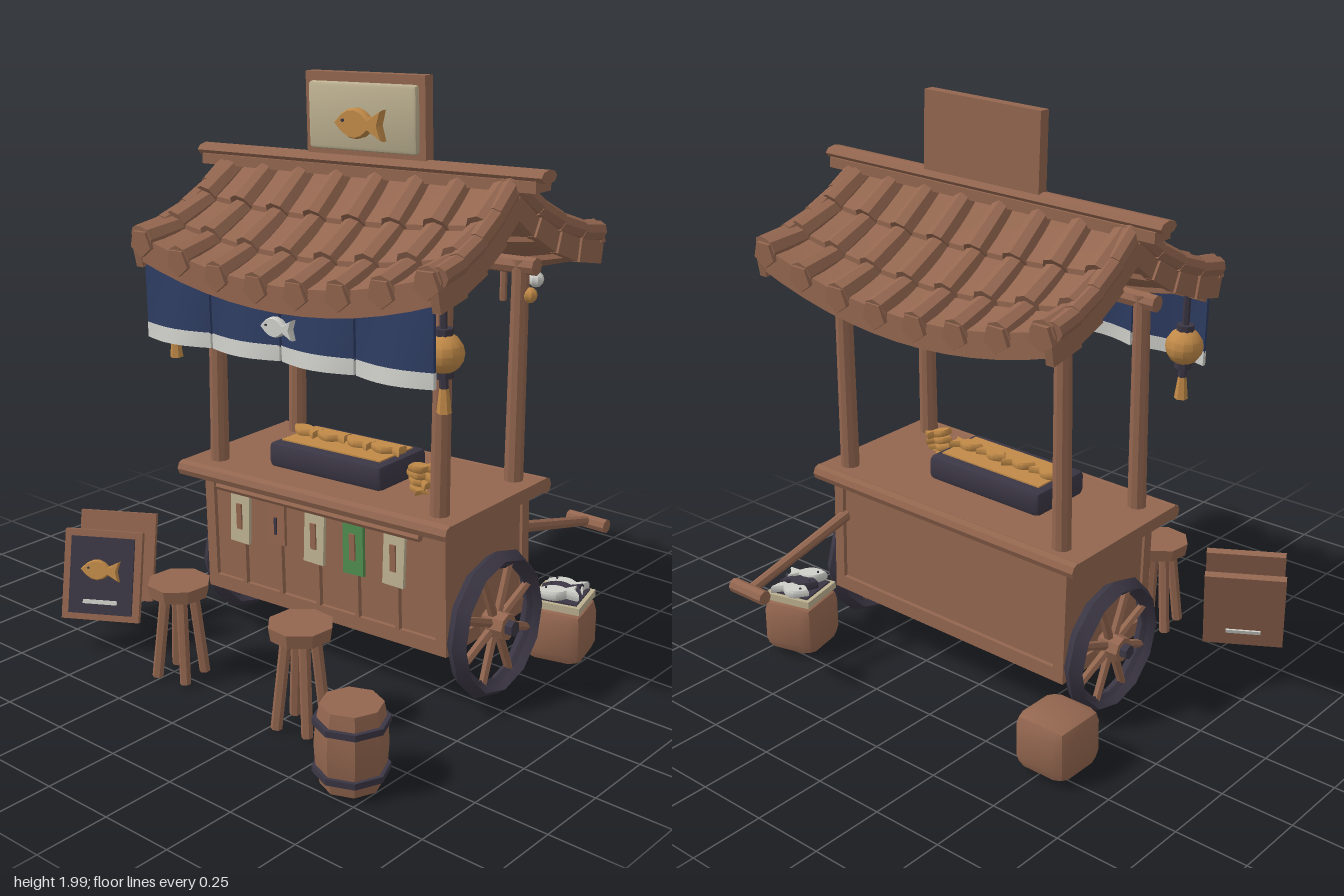
import * as THREE from 'three';
import { toCreasedNormals } from 'three/addons/utils/BufferGeometryUtils.js';
import { RoundedBoxGeometry } from 'three/addons/geometries/RoundedBoxGeometry.js';

const paint = (name, color) => Object.assign(new THREE.MeshStandardMaterial({ color }), { name });
const wood = paint('wood brown', 0x93664f), dark = paint('charcoal', 0x3b3644), navy = paint('navy cloth', 0x2d3c61);
const gold = paint('golden', 0xc18a48), cream = paint('cream', 0xbcb090), white = paint('off white', 0xcfcfca);
const green = paint('green', 0x4f8a4e);
const V = (x, y, z) => new THREE.Vector3(x, y, z);
const TILT = 0.033, YAW = 0.03, CX = 0.108, CZ = -0.055;

function add(parent, name, geo, mat, pos = [0, 0, 0], rot = [0, 0, 0]) {
  const m = new THREE.Mesh(toCreasedNormals(geo, 0.6), mat);
  m.name = name;
  m.position.set(...pos);
  m.rotation.set(...rot);
  parent.add(m);
  return m;
}
const box = (p, name, mat, size, pos, rot) => add(p, name, new THREE.BoxGeometry(...size), mat, pos, rot);
const cyl = (p, name, mat, r1, r2, h, n, pos, rot) => add(p, name, new THREE.CylinderGeometry(r1, r2, h, n), mat, pos, rot);
function group(parent, name, pos = [0, 0, 0], rot = [0, 0, 0]) {
  const g = new THREE.Group();
  g.name = name;
  g.position.set(...pos);
  g.rotation.set(...rot);
  parent.add(g);
  return g;
}
// round bar from a to b
function bar(p, name, mat, a, b, ra, rb = ra, n = 8) {
  const m = cyl(p, name, mat, rb, ra, a.distanceTo(b), n);
  m.position.copy(a).add(b).multiplyScalar(0.5);
  m.quaternion.setFromUnitVectors(V(0, 1, 0), b.clone().sub(a).normalize());
  return m;
}
// slightly crooked assembly: turned about height py, built with heights above the ground
const crooked = (root, name, py) => group(group(root, name, [CX, py, CZ], [0, YAW, TILT]), name + 'Parts', [0, -py, 0]);

// fish facing -x, lying in the xy plane
function fish(p, mat, len, pos, rot, eye, depth = 0.1) {
  const g = group(p, 'fish', pos, rot);
  const s = new THREE.Shape();
  s.moveTo(-0.5, 0.02);
  s.quadraticCurveTo(-0.12, 0.46, 0.22, 0.08);
  s.lineTo(0.5, 0.24);
  s.lineTo(0.42, 0);
  s.lineTo(0.5, -0.24);
  s.lineTo(0.22, -0.08);
  s.quadraticCurveTo(-0.12, -0.42, -0.5, 0.02);
  const geo = new THREE.ExtrudeGeometry(s, { depth, bevelThickness: 0.06, bevelSize: 0.03, bevelSegments: 1, curveSegments: 5 });
  add(g, 'fishBody', geo.scale(len, len, len), mat);
  if (eye) cyl(g, 'fishEye', eye, 0.03 * len, 0.03 * len, 0.008, 6, [-0.3 * len, 0.07 * len, (depth + 0.07) * len], [Math.PI / 2, 0, 0]);
  return g;
}

// roof surface: x along the ridge, t from ridge (0) to eave (1)
function roofPoint(x, t, lift = 0) {
  const sag = 0.11 * t * (1 - (x / 0.6) ** 2);
  return V(x * (1 + 0.06 * t), 1.67 - 0.36 * t + 0.16 * t * t - sag + lift, 0.425 * t);
}
function roofSlope(roof, name, turn) {
  const g = group(roof, name, [0, 0, 0], [0, turn - 0.018, 0]);
  for (let r = 0; r < 3; r++) {
    const t0 = r / 3, t1 = (r + 1) / 3 + 0.02;
    const geo = new THREE.BoxGeometry(1.16, 0.085, 1, 12, 1, 3), a = geo.attributes.position;
    for (let i = 0; i < a.count; i++) {
      const k = a.getZ(i) + 0.5;
      const q = roofPoint(a.getX(i), t0 + (t1 - t0) * k, a.getY(i) - 0.035 + 0.018 * k);
      a.setXYZ(i, q.x, q.y, q.z);
    }
    geo.computeVertexNormals();
    add(g, 'roofCourse', geo, wood);
    for (let c = 0; c < 8; c++) {
      const x = (c - 3.5) * 0.156;
      bar(g, 'coverTile', wood, roofPoint(x, t0, 0.002), roofPoint(x, t1 + 0.01, 0.02), 0.039, 0.046);
    }
  }
  for (let c = 0; c < 8; c++) {
    const e = roofPoint((c - 3.5) * 0.156, 1.03, 0.01);
    cyl(g, 'eaveCap', wood, 0.048, 0.048, 0.025, 5, [e.x, e.y, e.z], [Math.PI / 2 + 0.1, 0, 0]);
  }
  for (const s of [-1, 1]) for (let i = 0; i < 4; i++) {
    const a = roofPoint(s * 0.575, i / 4), b = roofPoint(s * 0.575, (i + 1) / 4 + 0.01);
    bar(g, 'vergeTile', wood, a.clone().setY(a.y + 0.015), b.clone().setY(b.y + 0.02), 0.033);
    const board = box(g, 'bargeBoard', wood, [0.03, 0.08, a.distanceTo(b) + 0.02]);
    board.position.copy(a).add(b).multiplyScalar(0.5).add(V(0, -0.045, 0));
    board.rotation.x = Math.atan2(a.y - b.y, b.z - a.z);
  }
}

function buildRoof(root) {
  const roof = crooked(root, 'roof', 1.67);
  roofSlope(roof, 'frontSlope', 0);
  roofSlope(roof, 'backSlope', Math.PI);
  box(roof, 'ridgeBase', wood, [1.34, 0.035, 0.085], [0, 1.683, 0]);
  cyl(roof, 'ridgeCap', wood, 0.043, 0.043, 1.38, 8, [0, 1.712, 0], [0, 0, Math.PI / 2]).scale.x = 0.5;
  // sign on the ridge
  box(roof, 'signBoard', wood, [0.475, 0.27, 0.04], [0.018, 1.857, -0.005]);
  add(roof, 'signPanel', new RoundedBoxGeometry(0.43, 0.215, 0.03, 1, 0.012), cream, [0.018, 1.855, 0.02]);
  fish(roof, gold, 0.18, [0.024, 1.835, 0.035], [0, 0, 0], dark);
  // cloth curtain under the front eave
  bar(roof, 'curtainRod', wood, V(-0.6, 1.375, 0.39), V(0.56, 1.375, 0.39), 0.015);
  for (let i = 0; i < 4; i++) for (const [name, mat, h, y, d] of [['curtain', navy, 0.2, 1.285, 0.012], ['curtainHem', white, 0.05, 1.165, 0.016]]) {
    const geo = new THREE.BoxGeometry(0.284, h, d, 6, 2, 1), a = geo.attributes.position;
    for (let k = 0; k < a.count; k++) a.setZ(k, a.getZ(k) + 0.03 * Math.cos(a.getX(k) * 11) * (1.4 - (y + a.getY(k))) / 0.25);
    geo.computeVertexNormals();
    add(roof, name, geo, mat, [(i - 1.5) * 0.293 - 0.022, y - 0.002, 0.4]);
  }
  fish(roof, white, 0.12, [-0.012, 1.25, 0.42], [0, 0, 0], dark, 0.12);
  // lanterns at both front corners
  for (const s of [-1, 1]) {
    const l = group(roof, 'lantern', [s * 0.563 - 0.022, 1.23, 0.315 + s * 0.015]);
    add(l, 'lanternBody', new THREE.SphereGeometry(0.063, 12, 8), gold);
    for (const k of [-1, 1]) cyl(l, 'lanternCap', dark, 0.03, 0.03, 0.025, 8, [0, k * 0.062, 0]);
    cyl(l, 'lanternCord', dark, 0.012, 0.012, 0.14, 6, [0, 0.13, 0]);
    cyl(l, 'tasselKnot', dark, 0.014, 0.014, 0.04, 6, [0, -0.092, 0]);
    cyl(l, 'tassel', gold, 0.014, 0.023, 0.075, 6, [0, -0.145, 0]);
  }
}

function buildFrame(root) {
  const f = group(root, 'frame', [CX, 0, CZ], [0, 0.015, 0]);
  for (const z of [0.2, -0.21]) {
    for (const x of [-0.47, 0.47]) cyl(f, 'post', wood, 0.029, 0.033, 0.76, 10, [x, 1.03 + x * TILT, z]);
    cyl(f, 'topBeam', wood, 0.029, 0.029, 1.06, 8, [0, 1.39, z], [0, 0, Math.PI / 2 + TILT]);
  }
  // small charms hanging by the back post
  add(f, 'charmBall', new THREE.SphereGeometry(0.026, 8, 6), gold, [0.5, 1.31, -0.22]);
  add(f, 'charmBall', new THREE.SphereGeometry(0.026, 8, 6), white, [0.5, 1.355, -0.255]);
  cyl(f, 'charmStick', wood, 0.012, 0.012, 0.12, 6, [0.36, 1.32, -0.28]);
}

function buildWheel(p, s, y, size) {
  const w = group(p, 'wheel', [s * 0.545, y, -0.02 + s * 0.016], [0, s * Math.PI / 2, 0]);
  w.scale.set(size, size, 1);
  add(w, 'tire', new THREE.TorusGeometry(0.223, 0.027, 4, 12), dark).scale.z = 1.4;
  add(w, 'rim', new THREE.TorusGeometry(0.204, 0.014, 4, 12), dark);
  for (let i = 0; i < 8; i++) {
    const a = (i + 0.5) * Math.PI / 4;
    bar(w, 'spoke', wood, V(0, 0, 0), V(Math.cos(a) * 0.205, Math.sin(a) * 0.205, 0), 0.017, 0.015, 6);
  }
  cyl(w, 'hub', wood, 0.045, 0.05, 0.08, 8, [0, 0, 0.01], [Math.PI / 2, 0, 0]);
  cyl(w, 'hubCap', dark, 0.027, 0.027, 0.03, 6, [0, 0, 0.06], [Math.PI / 2, 0, 0]);
}

function buildCart(root) {
  const c = crooked(root, 'cart', 0.4);
  box(c, 'cabinet', wood, [1, 0.41, 0.45], [0, 0.415, -0.015]);
  box(c, 'bottomRail', wood, [1.02, 0.05, 0.48], [0, 0.225, -0.015]);
  for (const x of [-0.49, 0.49]) for (const z of [0.205, -0.235]) box(c, 'cornerPost', wood, [0.04, 0.42, 0.04], [x, 0.42, z]);
  box(c, 'counter', wood, [1.13, 0.045, 0.56], [0, 0.646, 0]);
  for (const s of [-1, 1]) cyl(c, 'counterEdge', wood, 0.028, 0.028, 1.13, 8, [0, 0.643, s * 0.275], [0, 0, Math.PI / 2]);
  cyl(c, 'axle', wood, 0.025, 0.025, 1.05, 8, [0, 0.256, -0.02], [0, 0, Math.PI / 2]);
  buildWheel(c, -1, 0.264, 0.95);
  buildWheel(c, 1, 0.244, 1);
  // hanging menu tags
  cyl(c, 'tagRail', wood, 0.014, 0.014, 0.86, 6, [-0.005, 0.59, 0.24], [0, 0, Math.PI / 2]);
  [cream, wood, cream, green, cream].forEach((mat, i) => {
    const x = -0.335 + i * 0.164, small = i === 1;
    box(c, 'menuTag', mat, [small ? 0.074 : 0.083, small ? 0.14 : 0.17, 0.012], [x, small ? 0.505 : 0.49, 0.238], [-0.04, 0, (i % 2 - 0.5) * 0.05]);
    box(c, 'tagMark', small ? dark : wood, [small ? 0.01 : 0.022, small ? 0.06 : 0.09, 0.006], [x, 0.5, 0.247]);
    box(c, 'tagStick', wood, [0.016, 0.3, 0.016], [x, 0.4, 0.222]);
  });
  // grill with a row of fish
  add(c, 'grillTray', new RoundedBoxGeometry(0.48, 0.09, 0.26, 1, 0.02), dark, [-0.035, 0.71, 0.025]);
  box(c, 'grillPlate', gold, [0.42, 0.008, 0.18], [-0.035, 0.756, 0.025]);
  for (let i = 0; i < 4; i++) fish(c, gold, 0.11, [-0.21 + i * 0.115, 0.764, 0.025], [-Math.PI / 2, 0.05, 0.3 * (i % 2) - 0.1], null, 0.12);
  for (let i = 0; i < 4; i++) fish(c, gold, 0.085, [0.29 + 0.006 * i, 0.672 + i * 0.024, 0.07], [-Math.PI / 2, 0.2, i * 0.5 - 0.6], null, 0.15);
  // pull handle
  bar(root, 'handleShaft', wood, V(0.57, 0.515, -0.26), V(0.567, 0.388, -0.765), 0.022, 0.018);
  cyl(root, 'handleGrip', wood, 0.025, 0.025, 0.155, 8, [0.567, 0.386, -0.765], [0, 0, Math.PI / 2]);
}

function buildStool(root, x, top) {
  const s = group(root, 'stool', [x, 0, 0.5]);
  cyl(s, 'stoolSeat', wood, 0.107, 0.1, 0.045, 8, [0, top - 0.022, 0], [0, 0.3, 0.015]);
  for (let i = 0; i < 4; i++) {
    const a = i * Math.PI / 2 + 0.6, p = V(Math.cos(a), 0, Math.sin(a));
    bar(s, 'stoolLeg', wood, p.clone().multiplyScalar(0.08).setY(0.015), p.clone().multiplyScalar(0.045).setY(top - 0.03), 0.019, 0.019, 6);
  }
}

function buildBarrel(root) {
  const b = group(root, 'barrel', [0.667, 0, 0.66]);
  const pts = [[0, 0.02], [0.094, 0.02], [0.108, 0.09], [0.112, 0.15], [0.108, 0.21], [0.096, 0.28], [0, 0.28]];
  add(b, 'barrelBody', new THREE.LatheGeometry(pts.map(([r, y]) => new THREE.Vector2(r, y)), 8), wood);
  for (const y of [0.07, 0.225]) cyl(b, 'barrelHoop', dark, 0.118, 0.118, 0.02, 8, [0, y, 0]);
}

function buildBoards(root) {
  for (const [name, x, z, face] of [['menuBoard', -0.573, 0.52, 1], ['backBoard', -0.668, 0.367, -1]]) {
    const g = group(group(root, name, [x, 0.275, z], [0, 0.54, 0]), name + 'Lean', [0, 0, 0], [-0.28, 0, 0]);
    box(g, 'boardPanel', wood, [0.275, 0.31, 0.026]);
    if (face > 0) {
      box(g, 'boardFace', dark, [0.225, 0.265, 0.008], [0, 0, 0.017]);
      fish(g, gold, 0.13, [0, 0.02, 0.024], [0, 0, 0], dark);
    }
    box(g, 'boardStripe', white, [0.12, 0.014, 0.006], [0, -0.09, face * (face > 0 ? 0.024 : 0.016)]);
  }
}

function buildBundles(root) {
  for (const [x, z, yaw, laden] of [[-0.52, -0.465, 0, false], [0.67, -0.45, 0.25, true]]) {
    const g = group(root, 'bundle', [x, 0.12, z], [0, yaw, 0]);
    add(g, 'bundleBody', new RoundedBoxGeometry(0.21, 0.2, 0.21, 1, 0.045), wood);
    if (!laden) continue;
    box(g, 'bundleTray', cream, [0.18, 0.025, 0.18], [0, 0.108, 0]);
    box(g, 'trayInside', dark, [0.15, 0.012, 0.15], [0, 0.12, 0]);
    for (let i = 0; i < 3; i++) fish(g, i === 1 ? dark : white, 0.13, [0, 0.125 + 0.006 * i, (i - 1) * 0.05], [-Math.PI / 2, 0, 0.2 * i], dark, 0.12);
  }
}

export function createModel() {
  const root = new THREE.Group();
  root.name = 'foodCart';
  buildRoof(root);
  buildFrame(root);
  buildCart(root);
  buildStool(root, -0.215, 0.352);
  buildStool(root, 0.325, 0.368);
  buildBarrel(root);
  buildBoards(root);
  buildBundles(root);
  return root;
}
